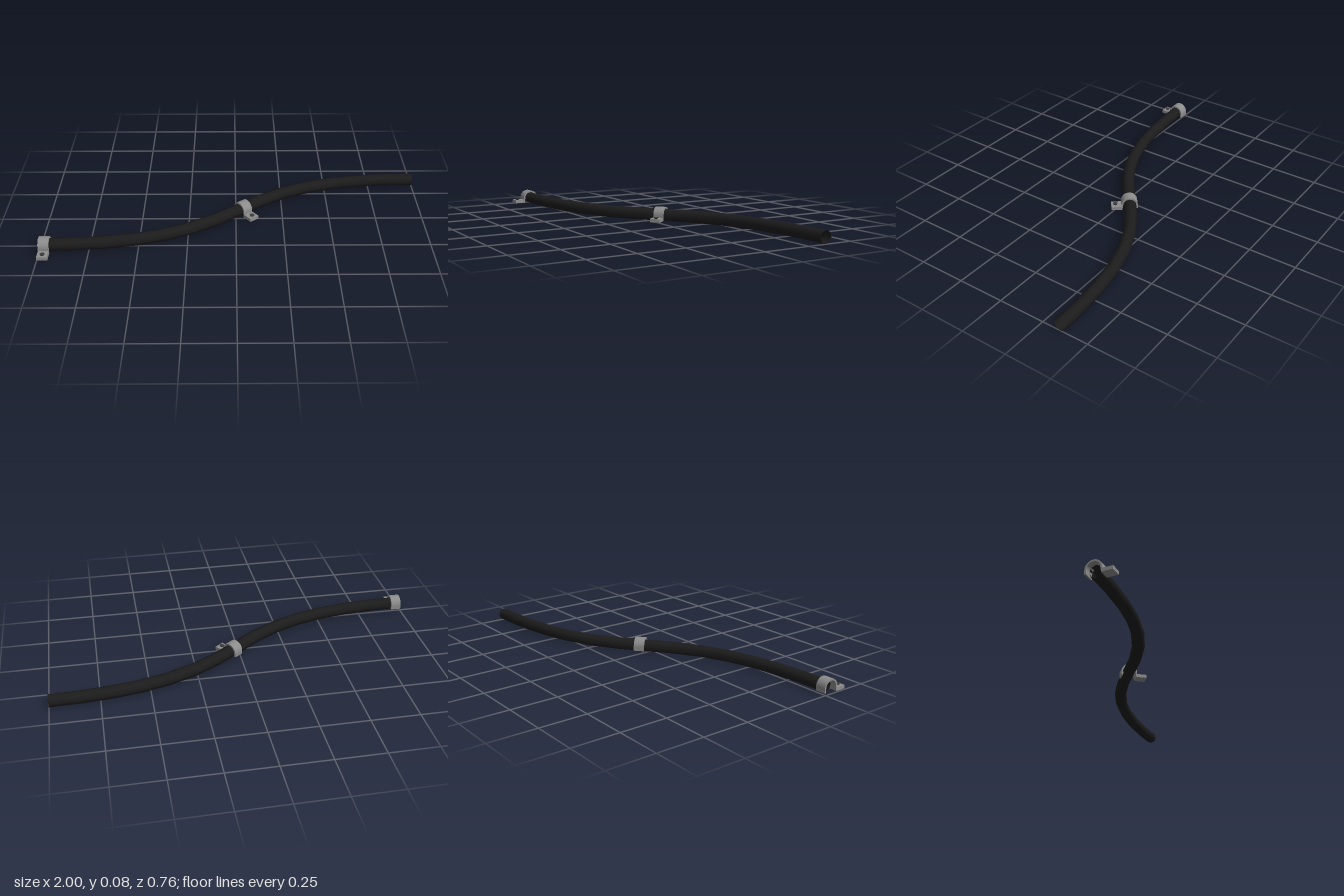
import * as THREE from 'three';

const CABLE_Y = 0.033;
const CLIP_WIDTH = 0.055;

// Side profile of a clip: screw tab, arch over the cable, short rear leg
function clipGeometry() {
  const outer = 0.043, inner = 0.034;
  const s = new THREE.Shape();
  s.moveTo(0.039, 0.005);
  s.lineTo(0.096, 0.005);
  s.lineTo(0.096, 0.023);
  s.lineTo(outer, 0.023);
  s.lineTo(outer, CABLE_Y);
  s.absarc(0, CABLE_Y, outer, 0, Math.PI, false);
  s.lineTo(-outer, 0.012);
  s.lineTo(-inner, 0.012);
  s.lineTo(-inner, CABLE_Y);
  s.absarc(0, CABLE_Y, inner, Math.PI, 0, true);
  s.closePath();
  const g = new THREE.ExtrudeGeometry(s, { depth: CLIP_WIDTH, bevelEnabled: false, curveSegments: 10 });
  g.translate(0, 0, -CLIP_WIDTH / 2);
  g.rotateY(-Math.PI / 2); // profile runs along z
  return g;
}

export function createModel() {
  const model = new THREE.Group();
  const black = new THREE.MeshStandardMaterial({ color: 0x1c1c1c, side: THREE.DoubleSide });
  const grey = new THREE.MeshStandardMaterial({ color: 0x8c8c8c });
  const dark = new THREE.MeshStandardMaterial({ color: 0x3c3c3c });

  // S-shaped cable, eight-sided with open ends
  const curve = new THREE.CubicBezierCurve3(
    new THREE.Vector3(-0.97, CABLE_Y, 0.282),
    new THREE.Vector3(0.215, CABLE_Y, 0.282),
    new THREE.Vector3(-0.185, CABLE_Y, -0.35),
    new THREE.Vector3(1, CABLE_Y, -0.35)
  );
  const cable = new THREE.Mesh(new THREE.TubeGeometry(curve, 14, 0.033, 8, false), black);
  cable.name = 'cable';
  model.add(cable);

  // Clips with a countersunk screw in the tab
  const strapGeometry = clipGeometry();
  const screwGeometry = new THREE.CylinderGeometry(0.013, 0.006, 0.012, 12);
  const addClip = (name, x, z, angle) => {
    const clip = new THREE.Group();
    clip.name = name;
    const strap = new THREE.Mesh(strapGeometry, grey);
    strap.name = 'strap';
    const screw = new THREE.Mesh(screwGeometry, dark);
    screw.name = 'screw';
    screw.position.set(0, 0.023, 0.075);
    clip.add(strap, screw);
    clip.position.set(x, 0, z);
    clip.rotation.y = angle;
    model.add(clip);
  };
  addClip('endClip', -0.9725, 0.285, 0);
  addClip('middleClip', 0.039, -0.05, THREE.MathUtils.degToRad(39));

  return model;
}
